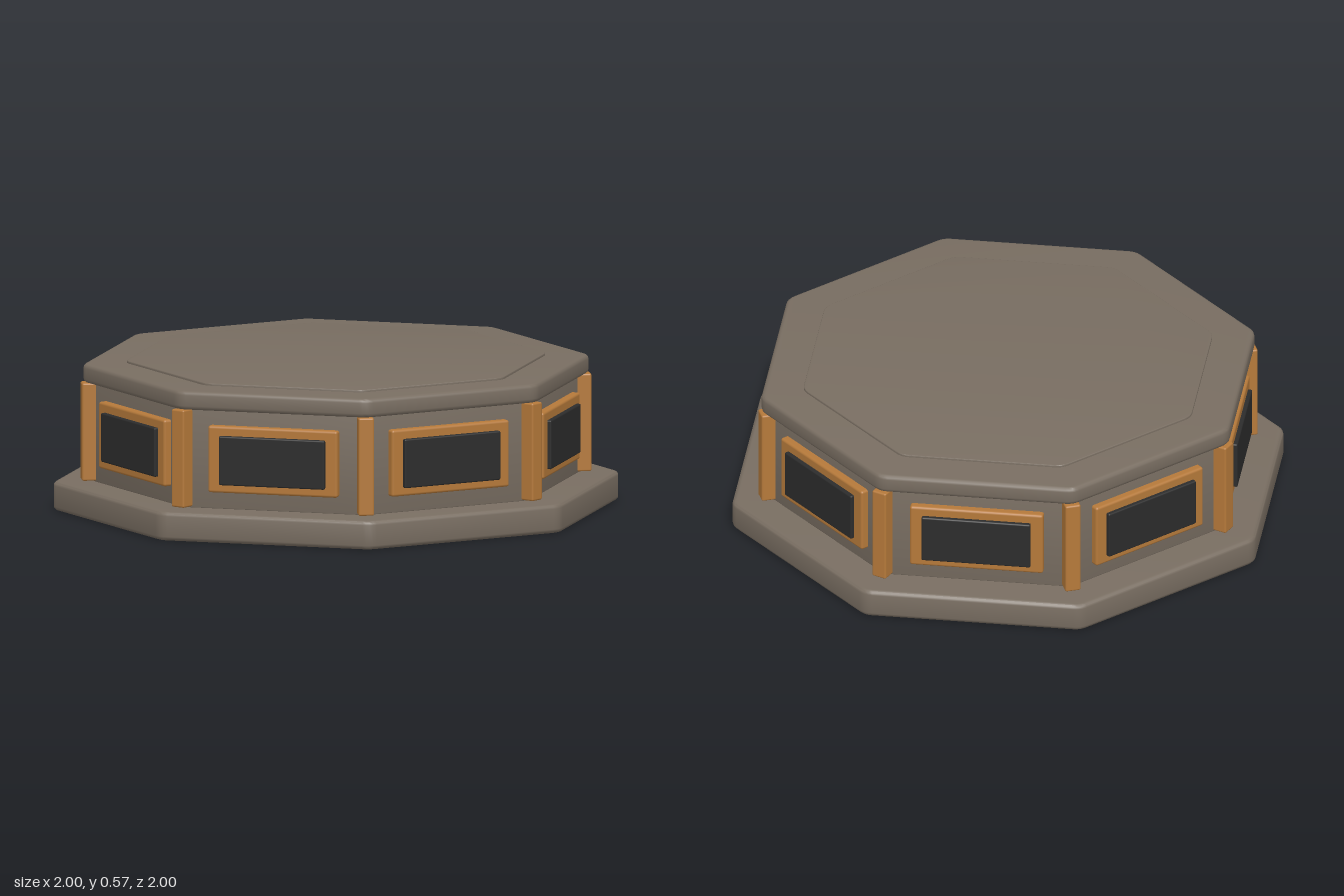
import * as THREE from 'three';
import { toCreasedNormals } from 'three/addons/utils/BufferGeometryUtils.js';
import { RoundedBoxGeometry } from 'three/addons/geometries/RoundedBoxGeometry.js';

const stone = new THREE.MeshStandardMaterial({ color: 0x786d61 });
stone.name = 'taupe stone';
const wood = new THREE.MeshStandardMaterial({ color: 0xb5793a });
wood.name = 'golden wood';
const dark = new THREE.MeshStandardMaterial({ color: 0x2c2c2c });
dark.name = 'charcoal panel';

// Octagon outline with flats on the axes and softly rounded corners
function octagon(apothem, round) {
  const corner = i => {
    const a = (i + 0.5) * Math.PI / 4;
    return new THREE.Vector2(Math.cos(a), Math.sin(a)).multiplyScalar(apothem / Math.cos(Math.PI / 8));
  };
  const shape = new THREE.Shape();
  for (let i = 0; i < 8; i++) {
    const c = corner(i);
    const from = corner(i - 1).sub(c).setLength(round).add(c);
    const to = corner(i + 1).sub(c).setLength(round).add(c);
    if (i === 0) shape.moveTo(from.x, from.y);
    else shape.lineTo(from.x, from.y);
    shape.quadraticCurveTo(c.x, c.y, to.x, to.y);
  }
  shape.closePath();
  return shape;
}

// Horizontal octagonal slab from y0 to y1 with rounded edges
function slab(name, apothem, y0, y1, bevel) {
  const geo = new THREE.ExtrudeGeometry(octagon(apothem, 0.03), {
    depth: y1 - y0 - 2 * bevel, curveSegments: 4,
    bevelThickness: bevel, bevelSize: bevel, bevelOffset: -bevel, bevelSegments: 3,
  });
  geo.rotateX(-Math.PI / 2).translate(0, y0 + bevel, 0);
  const mesh = new THREE.Mesh(toCreasedNormals(geo, 0.65), stone);
  mesh.name = name;
  return mesh;
}

// Rounded block standing at a given distance along +z
function block(name, w, h, d, r, y, z, material) {
  const mesh = new THREE.Mesh(new RoundedBoxGeometry(w, h, d, 2, r), material);
  mesh.position.set(0, y, z);
  mesh.name = name;
  return mesh;
}

export function createModel() {
  const model = new THREE.Group();
  model.name = 'octagonalPedestal';

  // Stacked stone tiers
  model.add(
    slab('base', 1, 0, 0.11, 0.016),
    slab('body', 0.86, 0.105, 0.495, 0.008),
    slab('topSlab', 0.895, 0.488, 0.56, 0.016),
    slab('topInset', 0.742, 0.55, 0.569, 0.003),
  );

  // One framed panel on each side and one post on each corner
  for (let i = 0; i < 8; i++) {
    const side = new THREE.Group();
    side.name = 'sidePanel';
    side.rotation.y = i * Math.PI / 4;
    side.add(
      block('panelFrame', 0.51, 0.256, 0.04, 0.01, 0.303, 0.87, wood),
      block('panel', 0.416, 0.188, 0.04, 0.006, 0.301, 0.886, dark),
    );
    const corner = new THREE.Group();
    corner.name = 'cornerPost';
    corner.rotation.y = (i + 0.5) * Math.PI / 4;
    corner.add(block('post', 0.06, 0.375, 0.06, 0.007, 0.301, 0.942, wood));
    model.add(side, corner);
  }
  return model;
}
